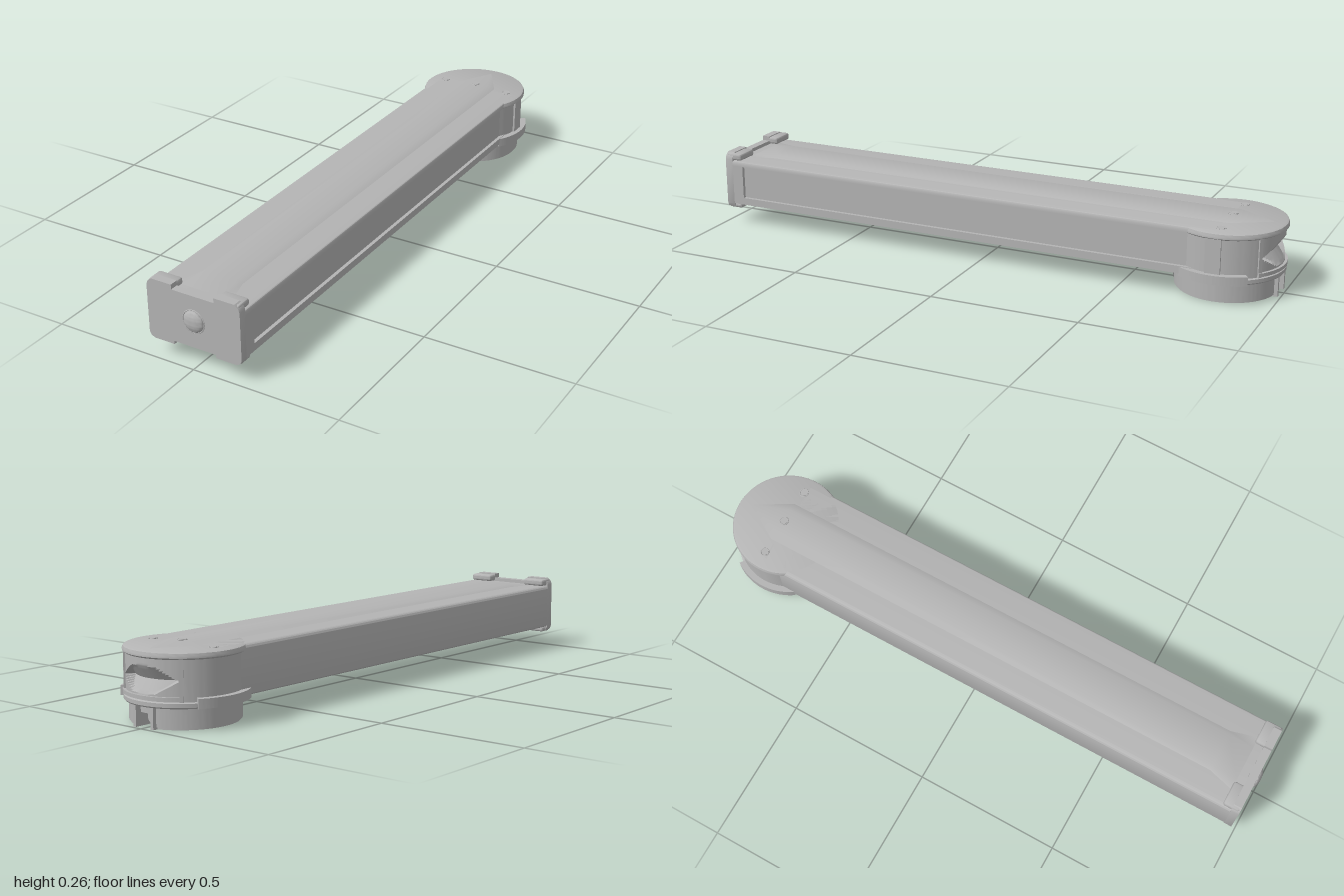
import * as THREE from 'three';
import { toCreasedNormals } from 'three/addons/utils/BufferGeometryUtils.js';
import { RoundedBoxGeometry } from 'three/addons/geometries/RoundedBoxGeometry.js';

const HEAD_Z = -0.813;

export function createModel() {
  const group = new THREE.Group();
  const grey = new THREE.MeshStandardMaterial({ color: 0xb4b4b4 });

  const add = (name, geometry, x = 0, y = 0, z = 0) => {
    const mesh = new THREE.Mesh(toCreasedNormals(geometry, 0.6), grey);
    mesh.name = name;
    mesh.position.set(x, y, z);
    group.add(mesh);
    return mesh;
  };
  const box = (name, x0, x1, y0, y1, z0, z1) =>
    add(name, new THREE.BoxGeometry(x1 - x0, y1 - y0, z1 - z0), (x0 + x1) / 2, (y0 + y1) / 2, (z0 + z1) / 2);
  const outline = (points) => new THREE.Shape(points.map((p) => new THREE.Vector2(...p)));
  const extrude = (shape, depth) => new THREE.ExtrudeGeometry(shape, { depth, bevelEnabled: false, curveSegments: 32 });

  // Horizontal slab: shape y becomes z, thickness hangs down from yTop
  const slab = (name, shape, yTop, depth) => add(name, extrude(shape, depth).rotateX(Math.PI / 2), 0, yTop, HEAD_Z);

  // Ring sector in the horizontal plane
  const sector = (inner, outer, a0, a1) => {
    const s = new THREE.Shape();
    s.absarc(0, 0, outer, a0, a1, false);
    s.absarc(0, 0, inner, a1, a0, true);
    s.closePath();
    return s;
  };

  const lathe = (points) => new THREE.LatheGeometry(points.map((p) => new THREE.Vector2(...p)), 72);

  // Long body: one smooth side, one side recessed between rails
  const body = new THREE.Shape();
  body.moveTo(-0.155, 0.075);
  body.lineTo(0.165, 0.075);
  body.lineTo(0.165, 0.1);
  body.lineTo(0.153, 0.1);
  body.lineTo(0.153, 0.214);
  body.lineTo(0.165, 0.214);
  body.lineTo(0.165, 0.225);
  body.quadraticCurveTo(0.165, 0.232, 0.155, 0.232);
  body.lineTo(-0.145, 0.232);
  body.quadraticCurveTo(-0.165, 0.232, -0.165, 0.212);
  body.lineTo(-0.165, 0.085);
  body.quadraticCurveTo(-0.165, 0.075, -0.155, 0.075);
  add('body', extrude(body, 0.96 - HEAD_Z), 0, 0, HEAD_Z);
  box('frontFramePost', 0.15, 0.165, 0.099, 0.215, 0.918, 0.96);
  box('rearFramePost', 0.15, 0.163, 0.099, 0.215, -0.8, -0.77);

  // Shallow raised spine lofted from trapezoid sections [z, halfBase, halfTop, height]
  const spine = (sections) => {
    const pos = [];
    const rows = sections.map(([z, b, t, h]) => [[-b, 0, z], [-t, h, z], [t, h, z], [b, 0, z]]);
    for (let i = 0; i < rows.length - 1; i++) {
      for (let j = 0; j < 3; j++) {
        const a = rows[i][j], b = rows[i][j + 1], c = rows[i + 1][j + 1], d = rows[i + 1][j];
        pos.push(...a, ...d, ...b, ...b, ...d, ...c);
      }
    }
    const g = new THREE.BufferGeometry();
    g.setAttribute('position', new THREE.Float32BufferAttribute(pos, 3));
    g.computeVertexNormals();
    return g;
  };
  add('topSpine', spine([
    [-0.955, 0.002, 0.001, 0], [-0.83, 0.075, 0.045, 0.009], [0.84, 0.075, 0.06, 0.009], [0.93, 0.1, 0.06, 0],
  ]), 0, 0.2325, 0);
  add('bottomSpine', spine([
    [-0.7, 0.1, 0.08, 0], [-0.62, 0.1, 0.08, 0.006], [0.74, 0.1, 0.08, 0.006], [0.83, 0.1, 0.08, 0],
  ]), 0, 0.075, 0).rotation.z = Math.PI;

  // Underside marks: paired round bosses, round plug and cross bar
  const disc = (name, r, h, x, y, z) => add(name, new THREE.CylinderGeometry(r, r, h, 20), x, y, z);
  for (let i = 0; i < 6; i++) {
    for (const x of [-0.055, 0.055]) {
      const z = 0.65 - i * 0.22;
      disc('undersideBoss', 0.016, 0.005, x, 0.0685, z);
      disc('undersideBoss', 0.016, 0.005, x, 0.0685, z - 0.06);
    }
  }
  disc('undersidePlug', 0.034, 0.006, 0, 0.0685, 0.71);
  add('undersideBar', new THREE.CapsuleGeometry(0.014, 0.2, 6, 16).rotateZ(Math.PI / 2), 0, 0.075, 0.885);

  // Round head lid with rolled edge
  add('headLid', lathe([
    [0, 0.21], [0.18, 0.21], [0.187, 0.215], [0.187, 0.222], [0.184, 0.229], [0.177, 0.232], [0, 0.232],
  ]), 0, 0, HEAD_Z);
  for (const x of [-0.127, 0, 0.127]) {
    const y = x === 0 ? 0.242 : 0.2325;
    disc('lidPin', 0.012, 0.004, x, y, -0.823);
    add('lidPinRim', new THREE.TorusGeometry(0.014, 0.002, 6, 24).rotateX(Math.PI / 2), x, y, -0.823);
  }

  // Head wall with a lens-shaped hollow pressed into the back
  const wall = new THREE.CylinderGeometry(0.178, 0.178, 0.15, 120, 30, true);
  const p = wall.attributes.position;
  for (let i = 0; i < p.count; i++) {
    const x = p.getX(i), y = p.getY(i), z = p.getZ(i);
    const side = Math.atan2(x, -z) / 0.65;
    const half = 0.042 * Math.max(0, 1 - side * side);
    const depth = Math.abs(y) < half ? 0.03 * (1 - Math.abs(y) / 0.042) : 0;
    p.setX(i, x * (1 - depth / 0.178));
    p.setZ(i, z * (1 - depth / 0.178));
  }
  wall.computeVertexNormals();
  add('headWall', wall, 0, 0.145, HEAD_Z);

  // Rim flange, side wings and upright ribs
  add('headFlange', lathe([[0, 0.066], [0.182, 0.066], [0.185, 0.07], [0.185, 0.082], [0.178, 0.085], [0, 0.085]]), 0, 0, HEAD_Z);
  for (const a of [0, Math.PI]) slab('sideWing', sector(0.17, 0.199, a - 0.6, a + 0.6), 0.098, 0.03);
  slab('rearRim', sector(0.17, 0.187, -Math.PI / 2 - 0.75, -Math.PI / 2 + 0.75), 0.1, 0.012);
  for (const a of [-0.72, 0.72]) {
    const rib = add('headRib', new THREE.BoxGeometry(0.012, 0.13, 0.01),
      Math.sin(a) * 0.179, 0.15, HEAD_Z - Math.cos(a) * 0.179);
    rib.rotation.y = -a;
  }
  box('headShoulder', 0.15, 0.183, 0.098, 0.212, -0.84, -0.79);

  // Hollow foot collar, open at front and back
  const gap = 0.24;
  for (const start of [-Math.PI / 2, Math.PI / 2]) {
    slab('footCollar', sector(0.125, 0.17, start + gap, start + Math.PI - gap), 0.068, 0.062);
    slab('footLip', sector(0.13, 0.165, start + gap, start + Math.PI - gap), 0.007, 0.007);
  }
  slab('footFloor', sector(0.001, 0.16, 0, Math.PI * 2), 0.068, 0.026);

  // Slanted channel rails running through the foot
  for (const s of [-1, 1]) {
    const points = [[s * 0.029, 0], [s * 0.042, 0], [s * 0.068, 0.045], [s * 0.029, 0.045]];
    add('channelRail', extrude(outline(s > 0 ? points : points.reverse()), 0.1), 0, 0, -0.75);
    box('rearFin', s * 0.036 - 0.006, s * 0.036 + 0.006, 0, 0.066, -0.99, -0.75);
  }

  // Pointed rod lying in the channel, and the tapered tongue ahead of it
  add('channelRod', lathe([
    [0, -0.14], [0.022, -0.14], [0.026, -0.13], [0.026, 0.03], [0.016, 0.06], [0.013, 0.1], [0.006, 0.13], [0, 0.14],
  ]).rotateX(Math.PI / 2), 0, 0.028, -0.81);
  const tongue = outline([[-0.05, 0.1], [0.05, 0.1], [0.035, 0.2], [0, 0.28], [-0.035, 0.2]]);
  slab('tongue', tongue, 0.076, 0.013);

  // Front end cap with notched plate, hooked tabs and round button
  add('endCap', extrude(outline([
    [-0.147, 0.057], [-0.075, 0.057], [-0.075, 0.068], [0.075, 0.068], [0.075, 0.057], [0.147, 0.057],
    [0.16, 0.064], [0.165, 0.075], [0.165, 0.236], [0.16, 0.25], [0.147, 0.26], [0.075, 0.26],
    [0.075, 0.244], [-0.075, 0.244], [-0.075, 0.26], [-0.147, 0.26], [-0.16, 0.25], [-0.165, 0.236],
    [-0.165, 0.075], [-0.16, 0.064],
  ]), 0.028), 0, 0, 0.958);
  for (const s of [-1, 1]) {
    add('topTab', new RoundedBoxGeometry(0.085, 0.024, 0.058, 3, 0.008), s * 0.1175, 0.245, 0.955);
    add('bottomTab', new RoundedBoxGeometry(0.085, 0.018, 0.05, 3, 0.007), s * 0.1175, 0.067, 0.957);
  }
  const button = add('capButton', new THREE.SphereGeometry(0.036, 32, 20), 0, 0.158, 0.985);
  button.scale.z = 0.4;
  add('buttonRim', new THREE.TorusGeometry(0.038, 0.002, 8, 40), 0, 0.158, 0.986);

  return group;
}
